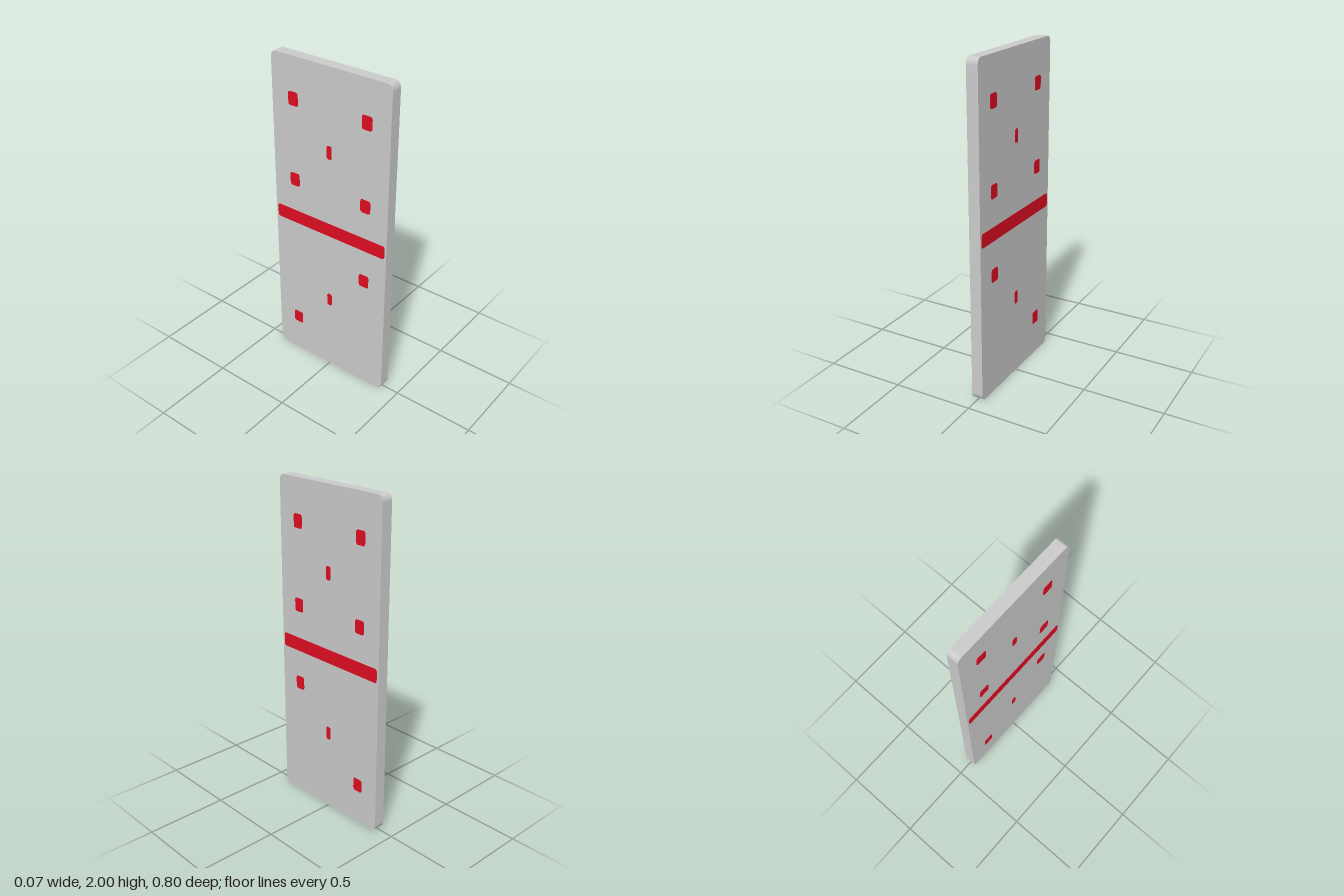
import * as THREE from 'three';

// Slab lying in the z-y plane with elliptical corners, centred on the origin
function slab(width, height, depth, rz, ry, segments) {
  const shape = new THREE.Shape();
  const w = width / 2 - rz, h = height / 2 - ry;
  [[w, h], [-w, h], [-w, -h], [w, -h]].forEach(([cx, cy], i) => {
    const start = i * Math.PI / 2;
    if (i === 0) shape.moveTo(cx + rz, cy);
    else shape.lineTo(cx + rz * Math.cos(start), cy + ry * Math.sin(start));
    shape.absellipse(cx, cy, rz, ry, start, start + Math.PI / 2, false);
  });
  const geometry = new THREE.ExtrudeGeometry(shape, { depth, bevelEnabled: false, curveSegments: segments });
  geometry.translate(0, 0, -depth / 2);
  geometry.rotateY(Math.PI / 2);
  return geometry;
}

export function createModel() {
  const group = new THREE.Group();
  const grey = new THREE.MeshStandardMaterial({ color: 0xcccccc });
  const red = new THREE.MeshStandardMaterial({ color: 0xe00d22 });

  const add = (name, geometry, material, y, z) => {
    const mesh = new THREE.Mesh(geometry, material);
    mesh.name = name;
    mesh.position.set(0, y, z);
    group.add(mesh);
  };

  // Tile body
  add('tile', slab(0.8, 2, 0.07, 0.03, 0.04, 6), grey, 1, 0);

  // Markings pass through the tile and stand slightly proud on both faces
  const depth = 0.074;
  add('dividerBar', slab(0.775, 0.084, depth, 0.014, 0.018, 4), red, 1.003, 0);

  const cornerPip = slab(0.067, 0.082, depth, 0.012, 0.016, 3);
  const centrePip = slab(0.034, 0.082, depth, 0.012, 0.016, 3);

  // Five on the upper half, three on the lower half
  const pips = [
    [1.753, 0.25], [1.753, -0.25], [1.503, 0], [1.253, 0.25], [1.253, -0.25],
    [0.753, 0.25], [0.503, 0], [0.253, -0.25],
  ];
  for (const [y, z] of pips) add('pip', z === 0 ? centrePip : cornerPip, red, y, z);

  return group;
}
